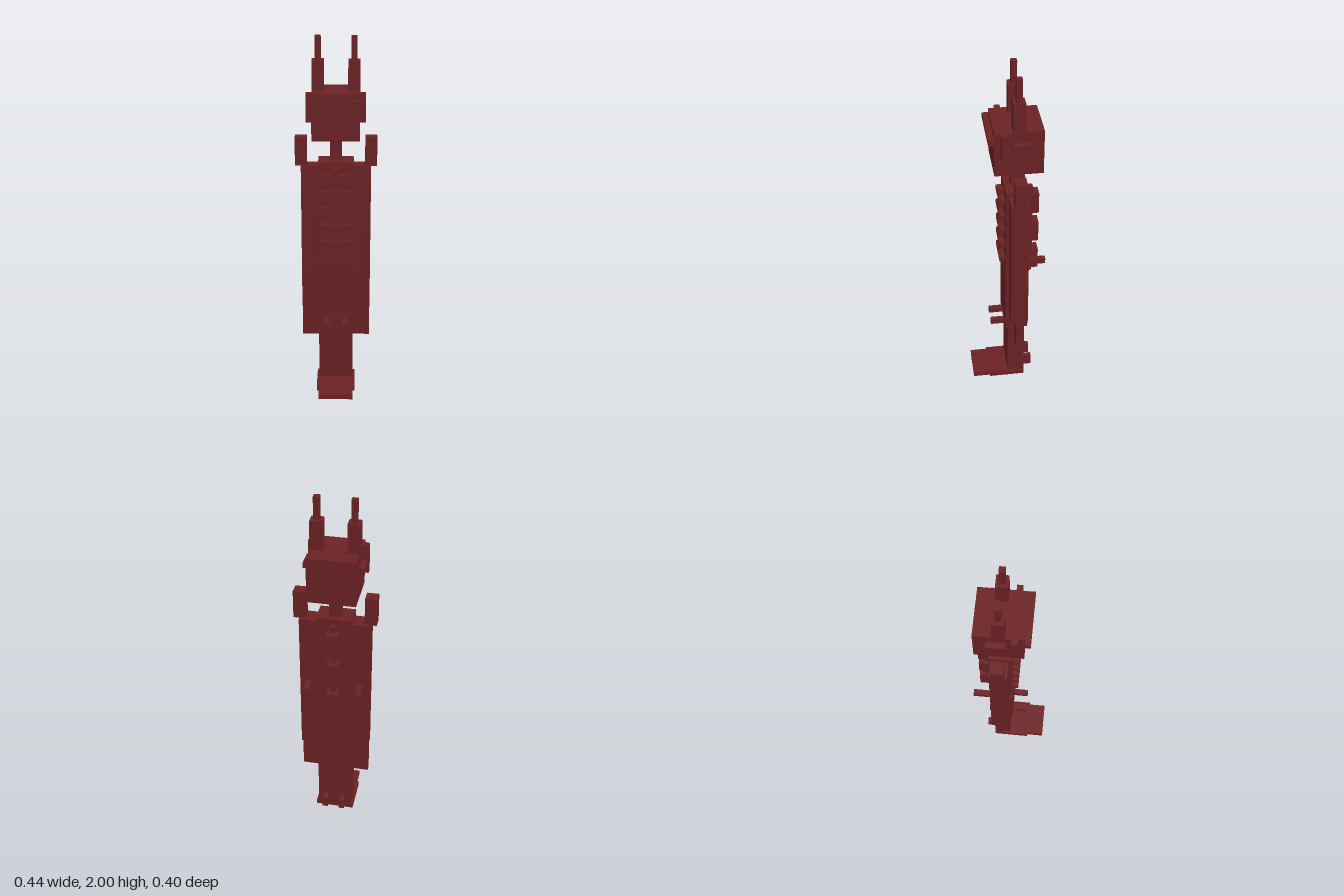
import * as THREE from 'three';

export function createModel() {
  const model = new THREE.Group();
  const darkRed = new THREE.MeshStandardMaterial({ color: 0x6b2224 });
  darkRed.name = 'darkRed';

  // Box given by its extents on each axis
  function block(name, [x0, x1], [y0, y1], [z0, z1]) {
    const mesh = new THREE.Mesh(new THREE.BoxGeometry(x1 - x0, y1 - y0, z1 - z0), darkRed);
    mesh.position.set((x0 + x1) / 2, (y0 + y1) / 2, (z0 + z1) / 2);
    mesh.name = name;
    model.add(mesh);
  }
  // Box and its mirror image across x = 0
  function pair(name, [x0, x1], y, z) {
    block(name + 'Left', [x0, x1], y, z);
    block(name + 'Right', [-x1, -x0], y, z);
  }
  // Box centred on x = 0
  const centred = (name, half, y, z) => block(name, [-half, half], y, z);

  // Foot and leg
  centred('heelPlate', 0.108, [0, 0.03], [-0.1, 0.104]);
  centred('toePlate', 0.096, [0, 0.03], [0.104, 0.2]);
  centred('leg', 0.096, [0.03, 0.386], [-0.1, -0.004]);
  pair('heelSpur', [0.033, 0.064], [0.032, 0.095], [-0.148, -0.1]);

  // Robe and torso
  centred('robe', 0.108, [0.386, 0.765], [-0.115, 0.011]);
  centred('torso', 0.096, [0.765, 1.333], [-0.115, 0.008]);
  pair('robePeg', [0.034, 0.064], [0.386, 0.415], [0.011, 0.09]);

  // Arms, hands and shoulders
  pair('arm', [0.096, 0.19], [0.482, 1.305], [-0.105, -0.01]);
  pair('hand', [0.096, 0.19], [0.291, 0.482], [-0.072, -0.04]);
  pair('shoulder', [0.158, 0.222], [1.305, 1.462], [-0.088, -0.025]);
  pair('backPeg', [0.128, 0.158], [0.892, 0.922], [-0.2, -0.1]);

  // Breastbone and ribs
  centred('breastbone', 0.014, [0.87, 1.303], [0.008, 0.039]);
  for (let i = 0; i < 5; i++) {
    const y = 0.864 + i * 0.095;
    centred('rib' + (i + 1), 0.08, [y, y + 0.027], [0.008, 0.04]);
  }

  // Spine and vertebrae
  centred('spine', 0.016, [0.735, 1.305], [-0.148, -0.115]);
  for (let i = 0; i < 3; i++) {
    const y = 0.765 + i * 0.189;
    centred('vertebra' + (i + 1), 0.032, [y, y + 0.126], [-0.18, -0.115]);
  }

  // Neck and head
  centred('neck', 0.031, [1.333, 1.466], [-0.088, -0.025]);
  centred('head', 0.128, [1.466, 1.716], [-0.183, 0.071]);
  centred('brow', 0.143, [1.655, 1.685], [0.071, 0.102]);
  pair('cheekPlate', [0.128, 0.158], [1.56, 1.716], [0.008, 0.039]);
  pair('templeBar', [0.128, 0.158], [1.626, 1.655], [-0.12, -0.022]);

  // Horns
  pair('hornBase', [0.064, 0.128], [1.716, 1.875], [-0.088, -0.025]);
  pair('hornTip', [0.08, 0.111], [1.875, 2], [-0.072, -0.041]);

  return model;
}
